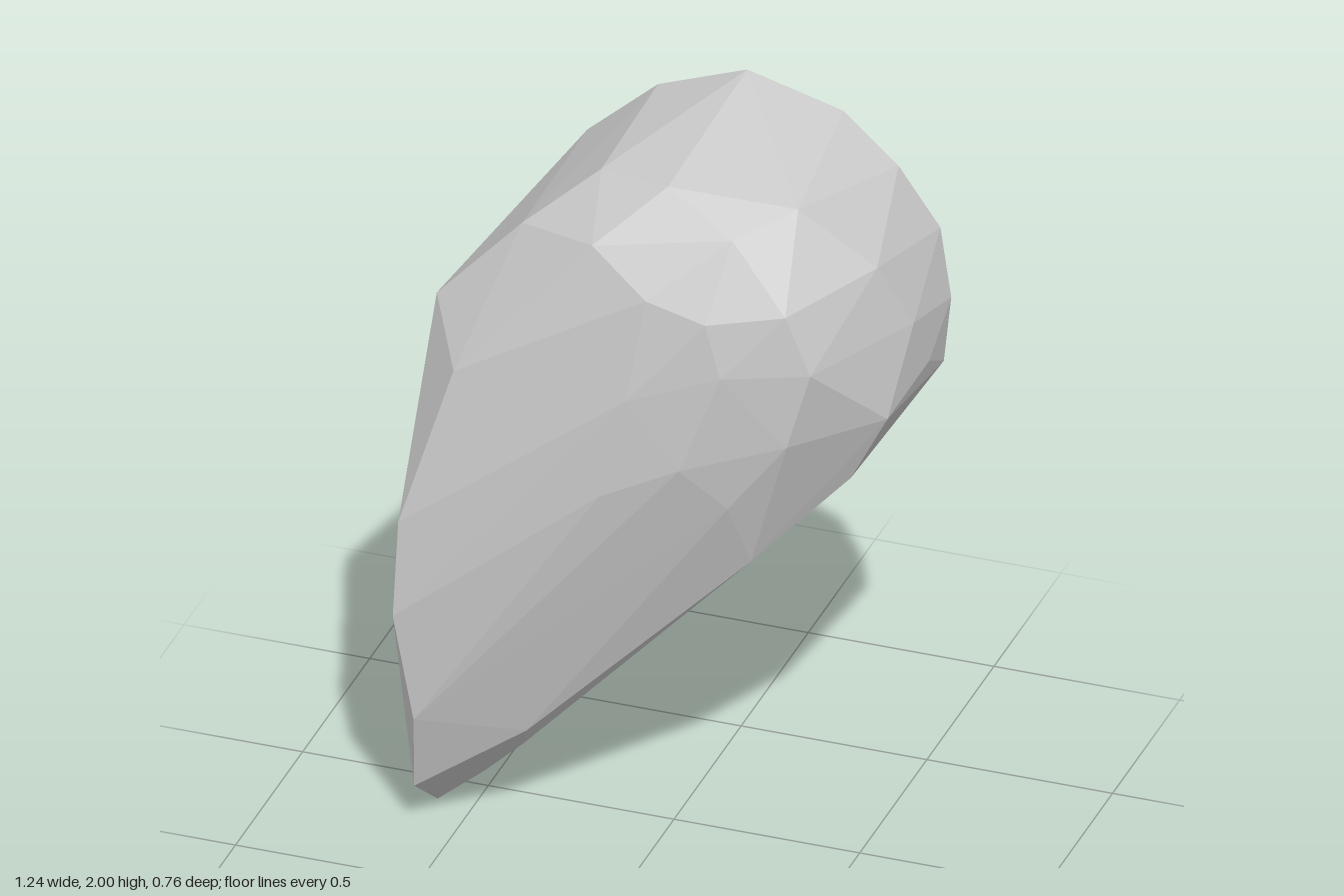
import * as THREE from 'three';
import { ConvexGeometry } from 'three/addons/geometries/ConvexGeometry.js';

// Outlines of the boulder from back to front, each point as [x, y, z]
const backRim = [
  [-0.62, 0.94, -0.38], [-0.37, 1.74, -0.38], [-0.18, 1.91, -0.38], [0.06, 2, -0.38],
  [0.32, 1.93, -0.38], [0.58, 1.64, -0.38], [0.28, 0.91, -0.38], [-0.595, 0.01, -0.285],
  [0.48, 1.82, -0.345], [0.62, 1.46, -0.35], [0.6, 1.27, -0.35], [0.48, 1.085, -0.335],
];
const sideBelt = [
  [-0.59, 1.5, 0.135], [-0.36, 1.75, 0.135], [-0.17, 1.91, 0.07], [0.04, 1.945, 0.155],
  [0.36, 1.895, 0.07], [0.54, 1.71, -0.02], [0.61, 1.52, -0.1], [0.615, 1.355, -0.2],
  [0.575, 1.285, 0], [0.48, 1.1, 0.01], [0.268, 0.9, 0.17], [-0.345, 0.245, 0.165],
  [-0.47, 0.11, 0.11], [-0.57, 0, -0.07], [-0.59, 0.015, 0.13],
];
const shoulder = [
  [-0.48, 1.39, 0.315], [-0.125, 1.8, 0.265], [0.24, 1.865, 0.228], [0.39, 1.68, 0.25],
  [0.45, 1.51, 0.23], [0.39, 1.295, 0.24], [0.24, 1.1, 0.265], [0, 0.85, 0.28],
  [-0.31, 0.33, 0.24], [-0.6, 0.13, 0.275],
];
const frontBulge = [
  [0.04, 1.7, 0.322], [0.2, 1.66, 0.322], [0.24, 1.51, 0.322], [0, 1.42, 0.36],
  [0.135, 1.23, 0.338], [-0.07, 1.13, 0.365], [-0.61, 0.95, 0.367], [-0.62, 0.68, 0.38],
  [-0.575, 0.37, 0.35],
];

export function createModel() {
  const stone = new THREE.MeshStandardMaterial({ color: 0xcccccc, flatShading: true });
  stone.name = 'pale stone grey';

  // Faceted boulder wrapped around the outlines
  const points = [backRim, sideBelt, shoulder, frontBulge].flat().map((p) => new THREE.Vector3(...p));
  const boulder = new THREE.Mesh(new ConvexGeometry(points), stone);
  boulder.name = 'boulder';

  const group = new THREE.Group();
  group.name = 'rock';
  group.add(boulder);
  return group;
}
